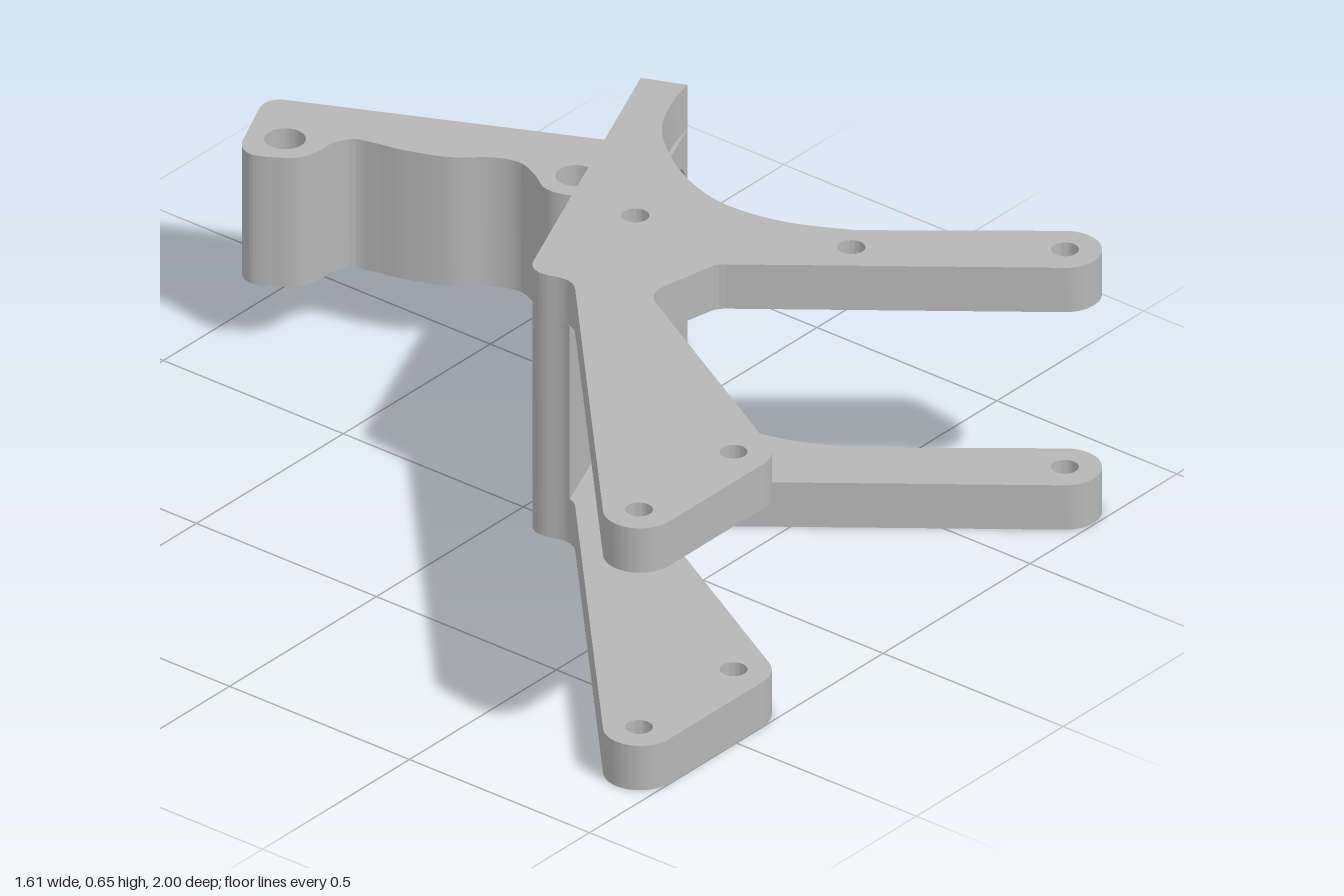
import * as THREE from 'three';
import { toCreasedNormals } from 'three/addons/utils/BufferGeometryUtils.js';

const grey = new THREE.MeshStandardMaterial({ color: 0xb6b6b6, side: THREE.DoubleSide });
grey.name = 'bracket grey';

const v = (pts) => pts.map(([x, z]) => new THREE.Vector2(x, z));

function addHoles(shape, holes, r) {
  for (const [x, y] of holes) {
    const hole = new THREE.Path();
    hole.absarc(x, y, r, 0, Math.PI * 2, true);
    shape.holes.push(hole);
  }
}

function addMesh(parent, geometry, name) {
  const mesh = new THREE.Mesh(toCreasedNormals(geometry, 0.55), grey);
  mesh.name = name;
  parent.add(mesh);
  return mesh;
}

// Extrudes an outline drawn in (x, z) between two heights
function slab(parent, shape, bottom, top, name) {
  const geo = new THREE.ExtrudeGeometry(shape, { depth: top - bottom, bevelEnabled: false, curveSegments: 24 });
  geo.rotateX(Math.PI / 2);
  geo.translate(0, top, 0);
  return addMesh(parent, geo, name);
}

// Three-footed plate outline with an arched right side
function plateShape(extraHoles) {
  const deg = Math.PI / 180;
  const s = new THREE.Shape();
  s.moveTo(0.72, -0.261);
  s.lineTo(0.76, -0.164);
  s.splineThru(v([[0.67, -0.137], [0.57, -0.08], [0.48, 0.03], [0.427, 0.143], [0.412, 0.25], [0.437, 0.38], [0.503, 0.514]]));
  s.absarc(0.723, 0.915, 0.08, -38 * deg, 142 * deg, false);
  s.lineTo(0.215, 0.395);
  s.quadraticCurveTo(0.2, 0.374, 0.178, 0.371);
  s.lineTo(0.06, 0.348);
  s.quadraticCurveTo(0.01, 0.34, -0.013, 0.38);
  s.absarc(-0.405, 0.918, 0.08, 30 * deg, 90 * deg, false);
  s.absarc(-0.727, 0.918, 0.08, 90 * deg, 227 * deg, false);
  s.lineTo(-0.08, 0.21);
  s.bezierCurveTo(-0.05, 0.185, -0.055, 0.155, -0.065, 0.13);
  s.bezierCurveTo(-0.075, 0.1, -0.07, 0.073, -0.034, 0.058);
  s.closePath();
  addHoles(s, [[-0.727, 0.915], [-0.405, 0.915], [0.723, 0.915], ...extraHoles], 0.03);
  return s;
}

export function createModel() {
  const model = new THREE.Group();
  model.name = 'bracket';

  // Upper and lower plates; only the upper has the two extra holes
  slab(model, plateShape([]), 0, 0.11, 'lowerPlate');
  slab(model, plateShape([[0.252, 0.106], [0.44, 0.553]]), 0.54, 0.65, 'upperPlate');

  // Slanted wall joining the plates, with two countersunk screw holes
  const wall = new THREE.Group();
  wall.name = 'wall';
  wall.position.set(0.76, 0, -0.164);
  wall.rotation.y = 0.395;
  model.add(wall);

  const panel = new THREE.Shape(v([[-0.82, 0.11], [0, 0.11], [0, 0.54], [-0.82, 0.54]]));
  const screws = [[-0.08, 0.245], [-0.08, 0.405]];
  addHoles(panel, screws, 0.069);
  const panelGeo = new THREE.ExtrudeGeometry(panel, { depth: 0.105, bevelEnabled: false, curveSegments: 24 });
  panelGeo.translate(0, 0, -0.105);
  addMesh(wall, panelGeo, 'wallPanel');

  for (const [x, y] of screws) {
    const sink = new THREE.LatheGeometry(v([[0, -0.104], [0.034, -0.104], [0.034, -0.07], [0.069, 0]]), 40);
    sink.rotateX(Math.PI / 2);
    addMesh(wall, sink, 'countersunkHole').position.set(x, y, 0);
  }

  // Rounded left end of the wall
  const end = new THREE.Shape();
  end.moveTo(0.003, 0.152);
  end.lineTo(-0.06, 0.178);
  end.bezierCurveTo(-0.055, 0.16, -0.058, 0.15, -0.065, 0.13);
  end.bezierCurveTo(-0.075, 0.1, -0.07, 0.073, -0.034, 0.058);
  end.lineTo(-0.037, 0.055);
  end.lineTo(-0.037 + 0.003, 0.055);
  end.closePath();
  slab(model, end, 0.11, 0.54, 'wallEnd');

  // Rear arm with a scalloped inner edge and two through holes
  const arm = new THREE.Shape();
  arm.moveTo(0.72, -0.261);
  arm.lineTo(0.386, -0.972);
  arm.quadraticCurveTo(0.368, -1.01, 0.325, -0.997);
  arm.lineTo(0.19, -0.935);
  arm.quadraticCurveTo(0.148, -0.91, 0.158, -0.873);
  arm.splineThru(v([[0.172, -0.845], [0.208, -0.797], [0.257, -0.78], [0.305, -0.778], [0.347, -0.753], [0.363, -0.705],
    [0.379, -0.636], [0.416, -0.546], [0.474, -0.472], [0.494, -0.413], [0.474, -0.355], [0.443, -0.302],
    [0.449, -0.249], [0.485, -0.193], [0.527, -0.181]]));
  arm.closePath();
  addHoles(arm, [[0.254, -0.869], [0.527, -0.283]], 0.045);
  slab(model, arm, 0.165, 0.485, 'rearArm');

  return model;
}
